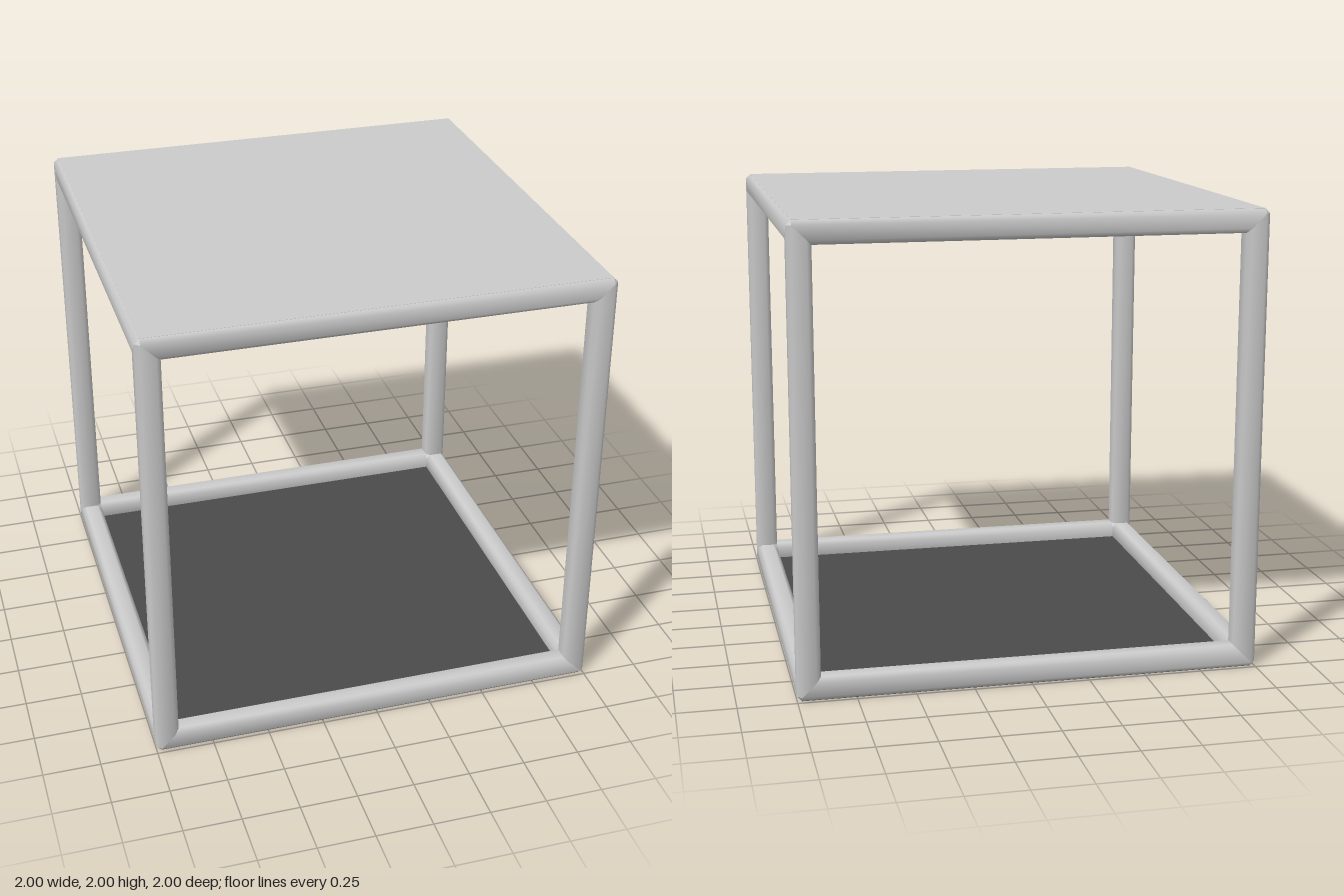
import * as THREE from 'three';
import { ConvexGeometry } from 'three/addons/geometries/ConvexGeometry.js';

const T = 0.1;  // beam thickness
const C = 0.02; // chamfer

// Chamfered square beam at the +x +z edge of a 2-unit cube, with mitred ends.
function beamGeometry() {
  const I = T - C;
  const section = [[C, 0], [I, 0], [T, C], [T, I], [I, T], [C, T], [0, I], [0, C]]; // inset from the two outer faces
  const pos = [], index = [];
  section.forEach(([a, b], i) => {
    const end = 1 - Math.max(a, b);
    pos.push(1 - a, -end, 1 - b, 1 - a, end, 1 - b);
    const j = (i + 1) % section.length;
    index.push(2 * j, 2 * i, 2 * i + 1, 2 * j, 2 * i + 1, 2 * j + 1);
  });
  const g = new THREE.BufferGeometry();
  g.setAttribute('position', new THREE.Float32BufferAttribute(pos, 3));
  g.setIndex(index);
  g.computeVertexNormals();
  return g;
}

// Block that closes the small chamfer triangles where three beams meet.
function cornerGeometry() {
  const pts = [];
  for (const [p, q] of [[C, 0], [T, T - C]]) {
    for (const [x, y, z] of [[p, p, q], [p, q, p], [q, p, p]]) {
      pts.push(new THREE.Vector3(1 - x, 1 - y, 1 - z));
    }
  }
  return new ConvexGeometry(pts);
}

export function createModel() {
  const grey = new THREE.MeshStandardMaterial({ color: 0xcccccc });
  const dark = new THREE.MeshStandardMaterial({ color: 0x4b4b4b });
  const model = new THREE.Group();
  model.name = 'openCubeFrame';
  const body = new THREE.Group();
  body.name = 'body';
  body.position.y = 1;
  model.add(body);

  // Four parallel beams in each of the three directions
  const beam = beamGeometry();
  const sets = [['post', 0, 0], ['sideRail', Math.PI / 2, 0], ['crossRail', 0, Math.PI / 2]];
  for (const [name, rx, rz] of sets) {
    const set = new THREE.Group();
    set.name = name + 's';
    set.rotation.set(rx, 0, rz);
    for (let k = 0; k < 4; k++) {
      const m = new THREE.Mesh(beam, grey);
      m.name = name;
      m.rotation.y = k * Math.PI / 2;
      set.add(m);
    }
    body.add(set);
  }

  // Corner blocks, upper four and lower four
  const corner = cornerGeometry();
  for (const flip of [0, Math.PI]) {
    const set = new THREE.Group();
    set.name = flip ? 'lowerCorners' : 'upperCorners';
    set.rotation.x = flip;
    for (let k = 0; k < 4; k++) {
      const m = new THREE.Mesh(corner, grey);
      m.name = 'corner';
      m.rotation.y = k * Math.PI / 2;
      set.add(m);
    }
    body.add(set);
  }

  // Closed top and darker floor, lying over the outer face of the rails
  const panel = new THREE.BoxGeometry(2 - 2 * C, 0.03, 2 - 2 * C);
  for (const [name, side, mat] of [['topPanel', 1, grey], ['floorPanel', -1, dark]]) {
    const m = new THREE.Mesh(panel, mat);
    m.name = name;
    m.position.y = side * (1.001 - 0.015);
    body.add(m);
  }
  return model;
}
